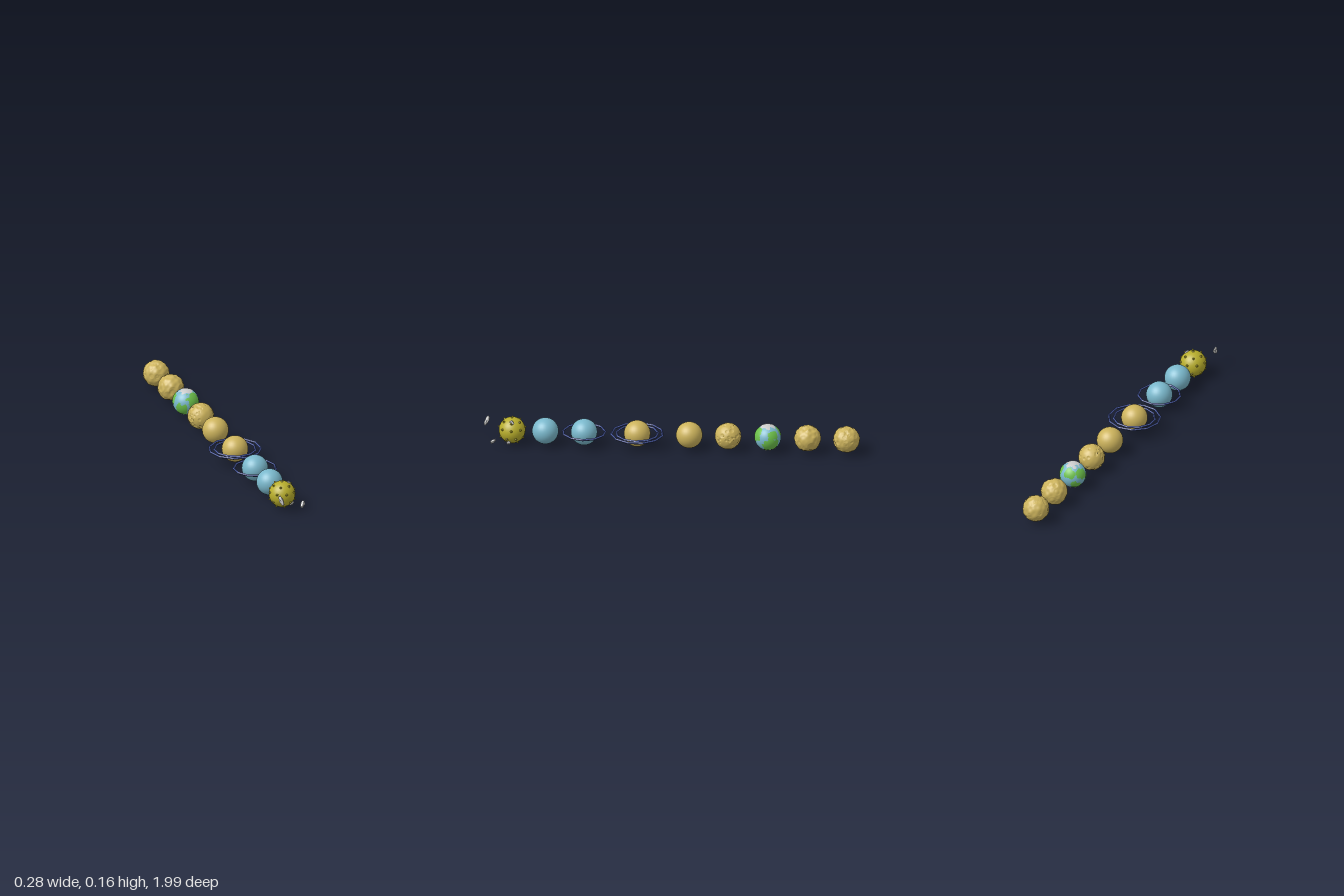
import * as THREE from 'three';
import { mergeVertices } from 'three/addons/utils/BufferGeometryUtils.js';

const R = 0.07, Y = 0.08;
const material = (color, flat = false) => new THREE.MeshStandardMaterial({ color, flatShading: flat });
const SAND = 0xccb35c, BLUE = 0x7ab8cc, GREEN = 0x6cc04a, YELLOW = 0xb8ae2c, NAVY = 0x46569a, GREY = 0xcccccc;

function seeded(seed) {
  let s = seed;
  return () => (s = (s * 16807) % 2147483647) / 2147483647;
}

function randomDirection(rand) {
  const y = rand() * 2 - 1, a = rand() * Math.PI * 2, r = Math.sqrt(1 - y * y);
  return new THREE.Vector3(r * Math.cos(a), y, r * Math.sin(a));
}

function add(group, name, geometry, mat, x = 0, y = 0, z = 0) {
  const mesh = new THREE.Mesh(geometry, mat);
  mesh.name = name;
  mesh.position.set(x, y, z);
  group.add(mesh);
  return mesh;
}

// Ball dented by round craters and roughened by a few waves
function crateredBall(seed, count, minSize, maxSize, depth, rough) {
  const rand = seeded(seed);
  const craters = Array.from({ length: count }, () => ({
    dir: randomDirection(rand), size: minSize + (maxSize - minSize) * rand(),
  }));
  const raw = new THREE.IcosahedronGeometry(1, 24);
  raw.deleteAttribute('uv');
  raw.deleteAttribute('normal');
  const geo = mergeVertices(raw);
  const p = geo.attributes.position, v = new THREE.Vector3();
  for (let i = 0; i < p.count; i++) {
    v.fromBufferAttribute(p, i).normalize();
    let h = 1 + rough * Math.sin(9 * v.x + seed) * Math.sin(8 * v.y + 1) * Math.sin(10 * v.z + 2);
    for (const c of craters) {
      const d = v.angleTo(c.dir) / c.size;
      if (d < 1) h -= depth * (1 - d ** 4);
      else if (d < 1.35) h += depth * 0.25 * (1.35 - d) / 0.35;
    }
    v.multiplyScalar(R * Math.max(h, 0.92));
    p.setXYZ(i, v.x, v.y, v.z);
  }
  geo.computeVertexNormals();
  return geo;
}

// Ball split into sea, raised land and polar ice
function oceanPlanet(group) {
  const blobs = [[0.35, 0.4, 0.85, 0.6], [0.9, -0.3, -0.25, 0.6], [-0.2, 0.5, -0.85, 0.4],
    [-0.85, 0.4, -0.25, 0.45], [-0.5, -0.45, -0.6, 0.38], [-0.6, -0.3, 0.7, 0.5], [0.75, 0.45, -0.45, 0.35]]
    .map(([x, y, z, size]) => ({ dir: new THREE.Vector3(x, y, z).normalize(), size }));
  const src = new THREE.IcosahedronGeometry(1, 17).attributes.position;
  const parts = { land: [], ice: [] };
  const tri = [new THREE.Vector3(), new THREE.Vector3(), new THREE.Vector3()], mid = new THREE.Vector3();
  for (let i = 0; i < src.count; i += 3) {
    tri.forEach((v, k) => v.fromBufferAttribute(src, i + k));
    mid.copy(tri[0]).add(tri[1]).add(tri[2]).normalize();
    const wave = 0.09 * Math.sin(11 * mid.x + 7 * mid.z) + 0.06 * Math.sin(15 * mid.z - 9 * mid.y);
    let kind = null;
    if (Math.abs(mid.y) > 0.86 + wave * 0.6) kind = 'ice';
    else if (blobs.some((b) => mid.angleTo(b.dir) < b.size + wave)) kind = 'land';
    if (kind) tri.forEach((v) => parts[kind].push(v.x * R * 1.02, v.y * R * 1.02, v.z * R * 1.02));
  }
  add(group, 'ocean', new THREE.SphereGeometry(R, 48, 32), material(BLUE));
  for (const [name, color] of [['land', GREEN], ['ice', GREY]]) {
    const raw = new THREE.BufferGeometry();
    raw.setAttribute('position', new THREE.Float32BufferAttribute(parts[name], 3));
    const geo = mergeVertices(raw);
    geo.computeVertexNormals();
    const mat = material(color);
    mat.side = THREE.DoubleSide;
    add(group, name, geo, mat);
  }
}

// Sun with rows of short pointed spikes
function spikedSun(group) {
  add(group, 'sunBody', new THREE.SphereGeometry(R, 32, 20), material(YELLOW));
  const cone = new THREE.ConeGeometry(0.011, 0.016, 5).translate(0, 0.004, 0);
  const mat = material(YELLOW, true), up = new THREE.Vector3(0, 1, 0);
  const rows = [[90, 1, 0], [48, 6, 30], [15, 8, 0], [-26, 8, 22.5], [-58, 5, 0], [-90, 1, 0]];
  for (const [lat, count, shift] of rows) {
    for (let i = 0; i < count; i++) {
      const dir = new THREE.Vector3().setFromSphericalCoords(1,
        THREE.MathUtils.degToRad(90 - lat), THREE.MathUtils.degToRad(shift + i * 360 / count));
      const spike = add(group, 'sunSpike', cone, mat);
      spike.position.copy(dir).multiplyScalar(R - 0.002);
      spike.quaternion.setFromUnitVectors(up, dir);
    }
  }
}

// Jagged stretched rock
function rock(group, seed, pos, size, rot) {
  const raw = new THREE.IcosahedronGeometry(1, 0);
  raw.deleteAttribute('uv');
  raw.deleteAttribute('normal');
  const geo = mergeVertices(raw), p = geo.attributes.position, rand = seeded(seed);
  for (let i = 0; i < p.count; i++) {
    const k = 0.75 + 0.4 * rand();
    p.setXYZ(i, p.getX(i) * k * size[0], p.getY(i) * k * size[1], p.getZ(i) * k * size[2]);
  }
  geo.computeVertexNormals();
  add(group, 'asteroid', geo, material(GREY, true), ...pos).rotation.set(...rot);
}

export function createModel() {
  const model = new THREE.Group();
  const planet = (name, z) => {
    const g = new THREE.Group();
    g.name = name;
    g.position.set(0, Y, z);
    model.add(g);
    return g;
  };

  // Rocky planets
  add(planet('rockyPlanetBack', -0.93), 'rockySurface', crateredBall(11, 70, 0.08, 0.22, 0.022, 0.03), material(SAND));
  add(planet('rockyPlanetSecond', -0.725), 'rockySurface', crateredBall(29, 30, 0.15, 0.4, 0.025, 0.035), material(SAND));
  oceanPlanet(planet('oceanPlanet', -0.515));
  add(planet('crateredPlanet', -0.305), 'crateredSurface', crateredBall(53, 75, 0.06, 0.18, 0.04, 0.01), material(SAND));

  // Smooth planets, two of them with faceted rings
  const smooth = [['plainSandPlanet', -0.1, SAND, []], ['doubleRingedPlanet', 0.175, SAND, [0.11, 0.137]],
    ['ringedPlanet', 0.455, BLUE, [0.112]], ['plainBluePlanet', 0.66, BLUE, []]];
  for (const [name, z, color, rings] of smooth) {
    const g = planet(name, z);
    add(g, 'planetBall', new THREE.SphereGeometry(R, 32, 20), material(color));
    rings.forEach((radius, i) => {
      const ring = add(g, 'ring', new THREE.TorusGeometry(radius, 0.0065, 4, 11), material(NAVY, true));
      ring.rotation.set(Math.PI / 2, 0, i * 0.3);
    });
  }

  spikedSun(planet('spikedSun', 0.835));

  // Asteroids around the sun
  rock(model, 7, [-0.06, 0.105, 0.972], [0.014, 0.034, 0.012], [-0.5, 0.3, 0.3]);
  rock(model, 19, [0.078, 0.046, 0.928], [0.013, 0.024, 0.013], [-0.6, 0.2, -0.5]);
  rock(model, 31, [0.038, 0.135, 0.835], [0.012, 0.02, 0.012], [0.3, 0.4, 0.8]);
  rock(model, 43, [0.048, 0.024, 0.85], [0.022, 0.012, 0.014], [0.2, 0.3, 0.4]);

  return model;
}
